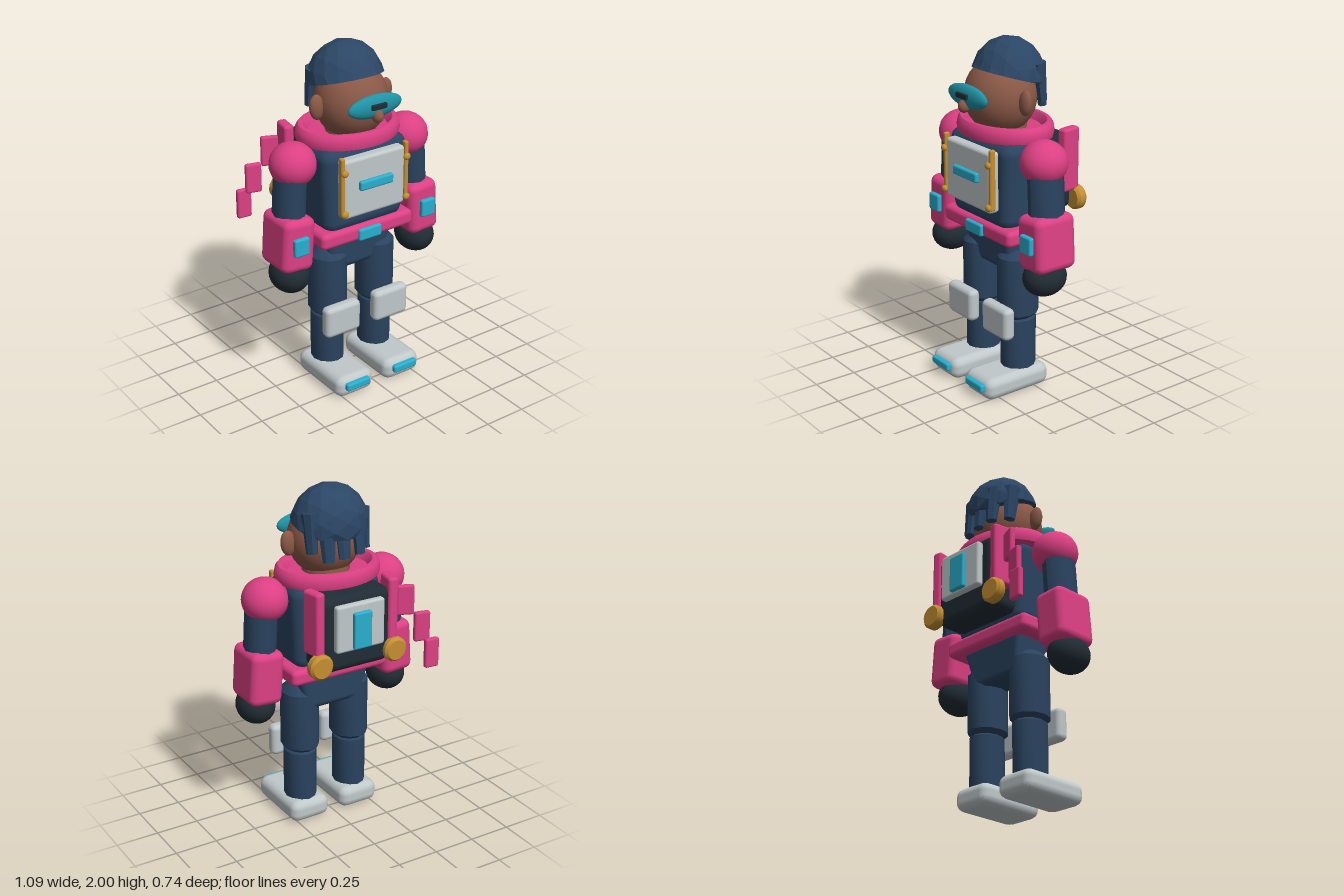
import * as THREE from 'three';
import { toCreasedNormals } from 'three/addons/utils/BufferGeometryUtils.js';
import { RoundedBoxGeometry } from 'three/addons/geometries/RoundedBoxGeometry.js';

const mat = (name, color) => {
  const m = new THREE.MeshStandardMaterial({ color });
  m.name = name;
  return m;
};

export function createModel() {
  const pink = mat('pink', 0xdc4083);
  const navy = mat('navy', 0x2a435f);
  const white = mat('white', 0xc0c8ca);
  const cyan = mat('cyan', 0x2aafce);
  const teal = mat('teal', 0x1f93a6);
  const gold = mat('gold', 0xc48f32);
  const skin = mat('skin', 0x8b5947);
  const dark = mat('dark', 0x202c35);
  const hairBlue = mat('hairBlue', 0x2b4665);

  const model = new THREE.Group();
  model.name = 'astronaut';

  const add = (name, geo, material, [x, y, z], [rx, ry, rz] = [0, 0, 0]) => {
    const mesh = new THREE.Mesh(geo, material);
    mesh.name = name;
    mesh.position.set(x, y, z);
    mesh.rotation.set(rx, ry, rz);
    model.add(mesh);
    return mesh;
  };
  // Same part on both sides, given for the left (+x)
  const pair = (name, geo, material, [x, y, z], [rx, ry, rz] = [0, 0, 0]) => {
    add(name + 'Left', geo, material, [x, y, z], [rx, ry, rz]);
    add(name + 'Right', geo, material, [-x, y, z], [rx, -ry, -rz]);
  };
  const box = (w, h, d, r = 0.02) => new RoundedBoxGeometry(w, h, d, 2, r);
  const ball = (rx, ry, rz) => new THREE.SphereGeometry(1, 24, 16).scale(rx, ry, rz);
  const facet = (geo) => {
    const g = geo.index ? geo.toNonIndexed() : geo;
    g.computeVertexNormals();
    return g;
  };
  // Chamfered limb with an elliptical section
  const limb = (rx, rz, h, bevel) => {
    const k = 1 - bevel / rx;
    const profile = [[0, -h / 2], [k, -h / 2], [1, -h / 2 + bevel], [1, h / 2 - bevel], [k, h / 2], [0, h / 2]];
    const g = new THREE.LatheGeometry(profile.map(([r, y]) => new THREE.Vector2(r, y)), 12);
    return toCreasedNormals(g.scale(rx, 1, rz), 0.6);
  };
  // Rounded box narrowing towards the bottom
  const taperedBox = (w, h, d, r, kx, kz) => {
    const g = box(w, h, d, r);
    const p = g.attributes.position;
    for (let i = 0; i < p.count; i++) {
      const t = 0.5 - p.getY(i) / h;
      p.setX(i, p.getX(i) * (1 + (kx - 1) * t));
      p.setZ(i, p.getZ(i) * (1 + (kz - 1) * t));
    }
    return g;
  };

  // Boots and legs
  pair('boot', box(0.25, 0.13, 0.435, 0.05), white, [0.165, 0.065, 0.125]);
  pair('toeLight', box(0.16, 0.046, 0.04, 0.012), cyan, [0.167, 0.078, 0.347]);
  pair('lowerLeg', limb(0.093, 0.105, 0.38, 0.03), navy, [0.167, 0.26, 0.045]);
  pair('upperLeg', limb(0.108, 0.122, 0.43, 0.045), navy, [0.165, 0.625, 0.047]);
  pair('kneePad', box(0.235, 0.19, 0.075, 0.03), white, [0.167, 0.435, 0.187]);

  // Hips, belt and torso
  add('hips', taperedBox(0.47, 0.24, 0.25, 0.04, 0.7, 0.75), navy, [0, 0.82, 0.03]);
  add('belt', box(0.62, 0.095, 0.365, 0.03), pink, [0, 0.952, 0.04]);
  add('buckle', box(0.152, 0.07, 0.04, 0.012), cyan, [0, 0.946, 0.22]);
  add('torso', taperedBox(0.57, 0.5, 0.34, 0.07, 0.9, 0.94), navy, [0, 1.22, 0.045]);

  // Chest panel with its rods and clips
  add('chestPlate', box(0.41, 0.345, 0.07, 0.02), white, [0, 1.26, 0.236]);
  add('chestLight', box(0.22, 0.056, 0.03, 0.012), cyan, [0, 1.273, 0.281]);
  pair('chestRod', box(0.027, 0.345, 0.035, 0.01), gold, [0.212, 1.283, 0.26]);
  for (const y of [1.37, 1.13]) pair('clip', ball(0.022, 0.02, 0.015), gold, [0.207, y, 0.282]);

  // Arms
  pair('shoulder', ball(0.13, 0.125, 0.132), pink, [0.38, 1.387, 0.04]);
  pair('upperArm', limb(0.088, 0.105, 0.4, 0.03), navy, [0.41, 1.19, 0.045], [0, 0, 0.06]);
  pair('forearm', box(0.2, 0.315, 0.265, 0.045), pink, [0.427, 0.957, 0.052], [0, 0, 0.07]);
  pair('wristScreen', box(0.096, 0.105, 0.035, 0.012), cyan, [0.433, 0.967, 0.193]);
  pair('hand', ball(0.108, 0.107, 0.13), dark, [0.437, 0.757, 0.072]);

  // Neck and collar ring
  add('neck', new THREE.CylinderGeometry(0.13, 0.14, 0.14, 20), skin, [0, 1.5, 0.03]);
  const collar = [[0.1, 1.455], [0.27, 1.455], [0.303, 1.468], [0.311, 1.495], [0.304, 1.535],
    [0.288, 1.553], [0.265, 1.553], [0.248, 1.535], [0.235, 1.505], [0.1, 1.5]];
  const collarGeo = new THREE.LatheGeometry(collar.map(([r, y]) => new THREE.Vector2(r, y)), 32);
  add('collar', toCreasedNormals(collarGeo.scale(1, 1, 0.79), 0.7), pink, [0, 0, 0.012]);

  // Head and face
  add('head', ball(0.208, 0.215, 0.2), skin, [0, 1.68, 0.045]);
  pair('ear', ball(0.045, 0.072, 0.03), skin, [0.226, 1.68, 0.047], [0, 0, -0.1]);
  add('visor', ball(0.175, 0.065, 0.036), teal, [0, 1.705, 0.263]);
  add('visorSlot', box(0.098, 0.03, 0.02, 0.006), dark, [0, 1.713, 0.3]);
  add('nose', ball(0.032, 0.037, 0.035), skin, [0, 1.655, 0.287]);

  // Faceted hair cap, its lower edge rising towards the forehead
  const cap = new THREE.IcosahedronGeometry(1, 2).scale(0.22, 0.225, 0.2);
  const p = cap.attributes.position;
  for (let i = 0; i < p.count; i++) {
    const edge = 0.3 * p.getZ(i) + 0.005;
    if (p.getY(i) < edge) p.setY(i, edge);
  }
  add('hairCap', facet(cap), hairBlue, [0, 1.775, -0.012]);
  // Hanging locks around the back
  const lock = facet(new THREE.CylinderGeometry(0.05, 0.034, 0.22, 7, 2).scale(1, 1, 0.7));
  for (const [x, y, z, tilt] of [[0.17, 1.765, -0.1, 1.0], [-0.17, 1.745, -0.1, -1.0],
    [0.1, 1.72, -0.155, 0.5], [-0.09, 1.74, -0.165, -0.45], [0.01, 1.73, -0.17, 0]]) {
    add('hairLock', lock, hairBlue, [x, y, z], [0.12, -tilt, 0]);
  }

  // Backpack
  add('backpack', box(0.45, 0.44, 0.2, 0.05), dark, [0, 1.235, -0.2]);
  add('packPlate', box(0.305, 0.27, 0.045, 0.015), white, [0, 1.282, -0.318]);
  add('packLight', box(0.112, 0.21, 0.03, 0.01), cyan, [0, 1.266, -0.35]);
  pair('packFin', box(0.06, 0.365, 0.125, 0.018), pink, [0.24, 1.318, -0.245], [0, 0.17, 0]);
  const nozzle = [[0, -0.033], [0.058, -0.033], [0.072, -0.018], [0.072, 0.018], [0.058, 0.033], [0, 0.033]];
  const nozzleGeo = new THREE.LatheGeometry(nozzle.map(([r, y]) => new THREE.Vector2(r, y)), 16);
  pair('thruster', toCreasedNormals(nozzleGeo, 0.6), gold, [0.238, 1.085, -0.303], [Math.PI / 2, 0, 0]);

  // Trailing strap in three links
  for (const [x, y, z, turn] of [[-0.33, 1.345, -0.272, -0.38], [-0.415, 1.185, -0.315, -0.22], [-0.46, 1.028, -0.352, -0.08]]) {
    add('strapLink', box(0.1 - (1.345 - y) * 0.04, 0.175, 0.034, 0.012), pink, [x, y, z], [0, turn, 0]);
  }

  return model;
}
